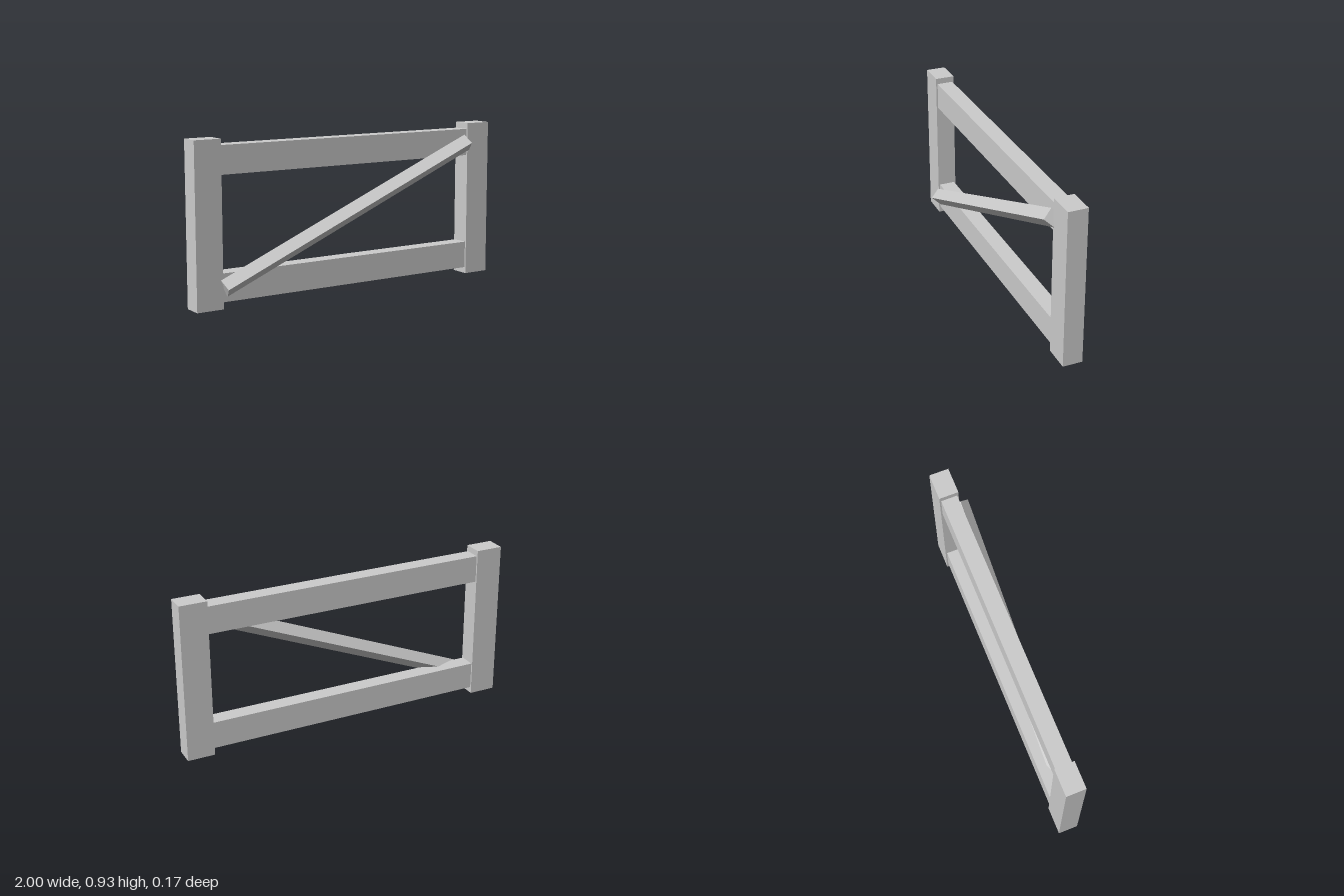
import * as THREE from 'three';

export function createModel() {
  const group = new THREE.Group();
  const grey = new THREE.MeshStandardMaterial({ color: 0xcccccc });
  grey.name = 'light grey';

  const bar = (name, w, h, d, x, y, z) => {
    const mesh = new THREE.Mesh(new THREE.BoxGeometry(w, h, d), grey);
    mesh.name = name;
    mesh.position.set(x, y, z);
    group.add(mesh);
    return mesh;
  };

  // Upright end posts
  bar('leftPost', 0.16, 0.93, 0.115, 0.92, 0.465, -0.0255);
  bar('rightPost', 0.16, 0.93, 0.115, -0.92, 0.465, -0.0255);

  // Horizontal rails, set slightly in from the post faces
  bar('topRail', 1.68, 0.16, 0.096, 0, 0.815, -0.0255);
  bar('bottomRail', 1.68, 0.16, 0.096, 0, 0.117, -0.0255);

  // Square diagonal brace, turned on edge and half sunk into the frame
  const brace = bar('diagonalBrace', 1.81, 0.072, 0.072, 0, 0.465, 0.032);
  brace.geometry.rotateX(Math.PI / 4);
  brace.rotation.z = Math.atan2(0.7, 1.67);

  return group;
}
